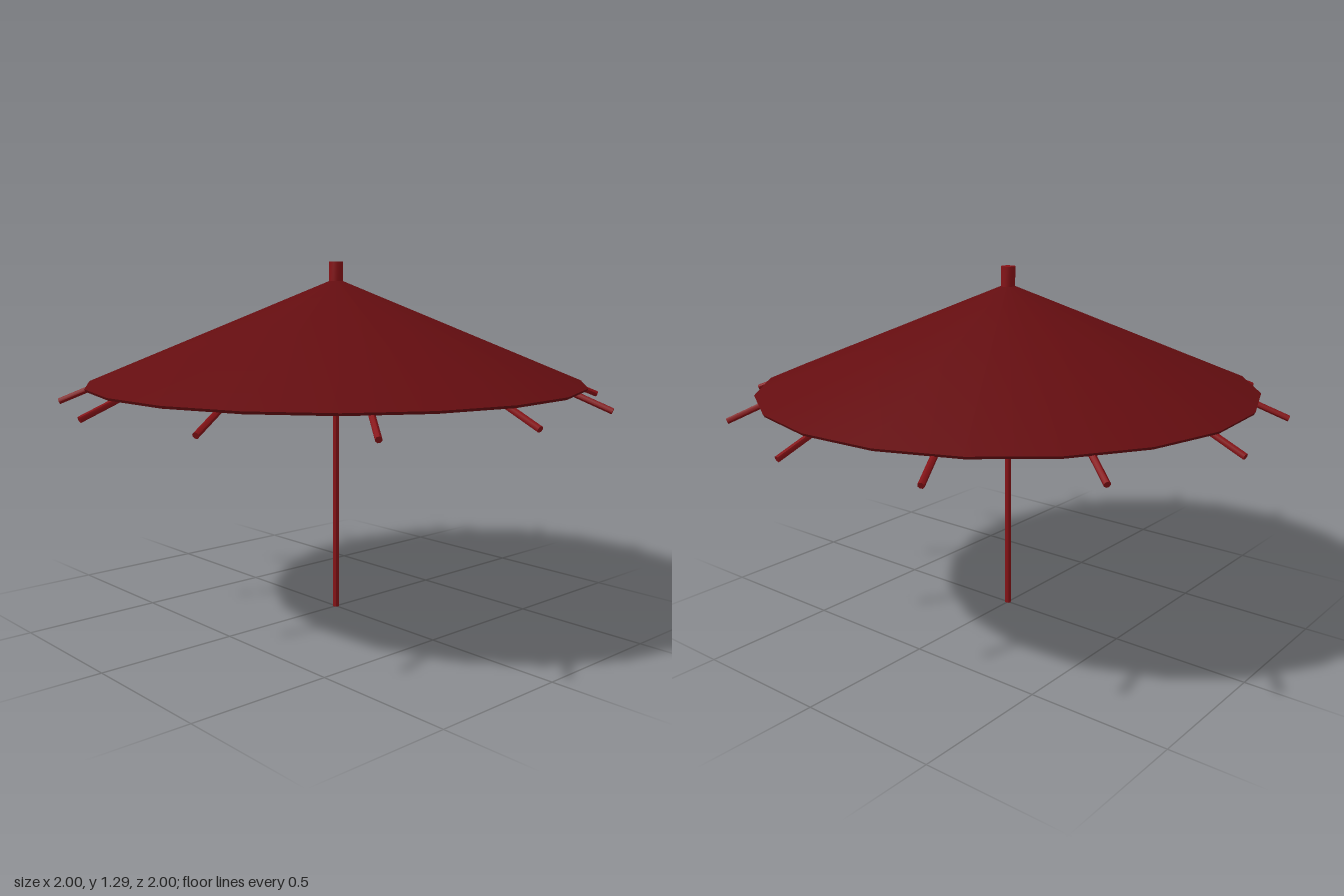
import * as THREE from 'three';
import { toCreasedNormals } from 'three/addons/utils/BufferGeometryUtils.js';

const rad = THREE.MathUtils.degToRad;
const TURN = rad(5.3); // shared twist of canopy corners and ribs

export function createModel() {
  const group = new THREE.Group();
  const paper = new THREE.MeshStandardMaterial({ color: 0x640d10 });
  const wood = new THREE.MeshStandardMaterial({ color: 0x861216 });

  const add = (name, geometry, material) => {
    const mesh = new THREE.Mesh(geometry, material);
    mesh.name = name;
    group.add(mesh);
    return mesh;
  };

  // Rod between two points
  const rod = (name, a, b, radius, sides) => {
    const dir = b.clone().sub(a);
    const geometry = toCreasedNormals(
      new THREE.CylinderGeometry(radius, radius, dir.length(), sides), rad(50));
    const mesh = add(name, geometry, wood);
    mesh.position.copy(a).add(b).multiplyScalar(0.5);
    mesh.quaternion.setFromUnitVectors(new THREE.Vector3(0, 1, 0), dir.normalize());
    return mesh;
  };

  // Canopy: thin hollow cone with 20 sides, underside first, then rim and top
  const profile = [[0, 1.222], [0.9, 0.853], [0.905, 0.862], [0, 1.235]]
    .map(([r, y]) => new THREE.Vector2(r, y));
  const canopy = new THREE.LatheGeometry(profile, 20, rad(90) - TURN);
  add('canopy', toCreasedNormals(canopy, rad(35)), paper);

  // Ribs: twelve sloping rods under the canopy, reaching past the rim
  for (let i = 0; i < 12; i++) {
    const a = TURN + (i * Math.PI) / 6;
    rod('rib', new THREE.Vector3(0, 1.207, 0),
      new THREE.Vector3(Math.cos(a) * 0.998, 0.8, Math.sin(a) * 0.998), 0.011, 8);
  }

  // Handle and the knob on top
  rod('handle', new THREE.Vector3(0, 0, 0), new THREE.Vector3(0, 1.22, 0), 0.011, 8);
  rod('knob', new THREE.Vector3(0, 1.2, 0), new THREE.Vector3(0, 1.295, 0), 0.026, 12);

  return group;
}
